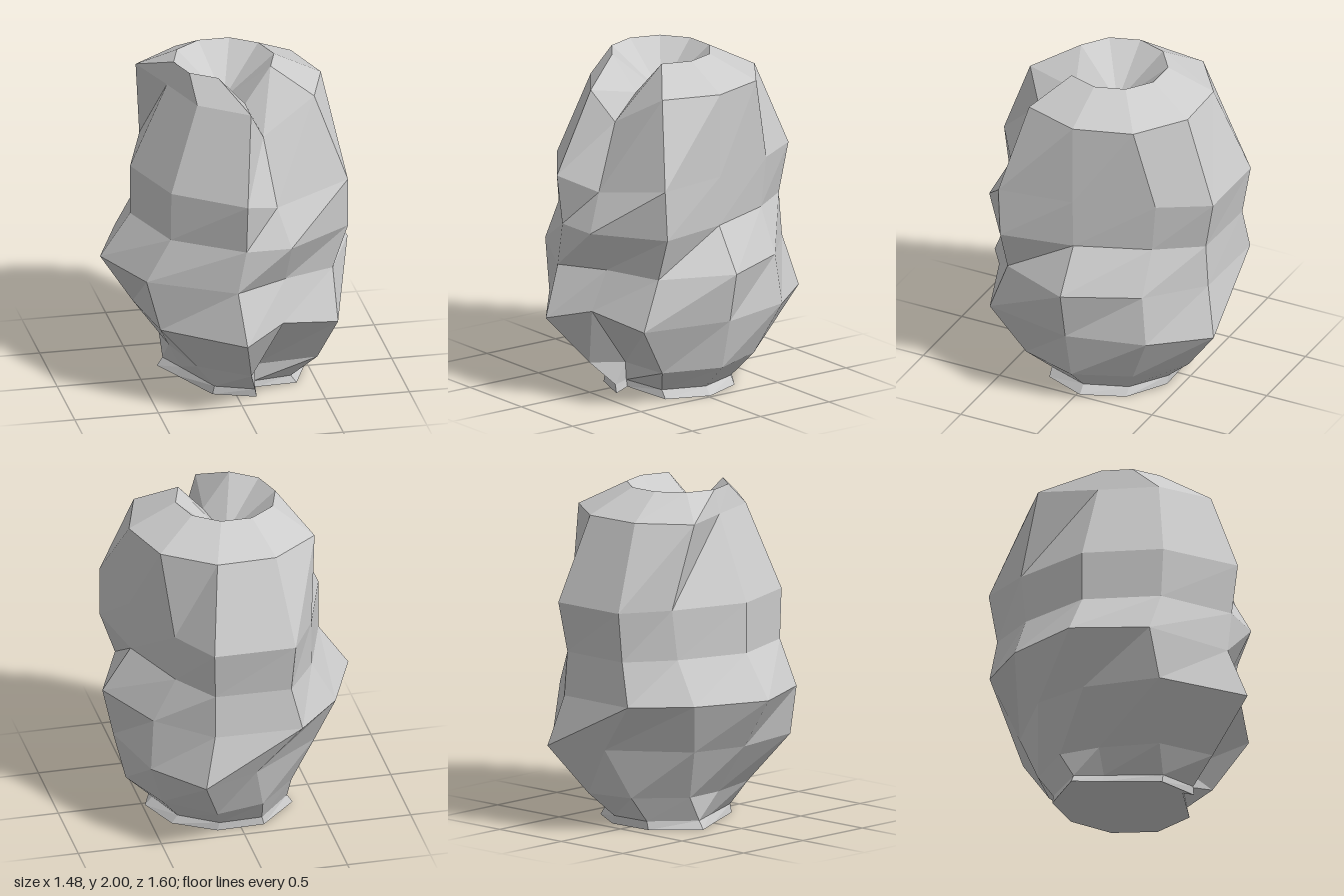
import * as THREE from 'three';

// Heights of the cross-sections, from foot to rim
const heights = [0, 0.05, 0.2, 0.5, 0.8, 1.06, 1.36, 1.86, 2];
const top = heights.length - 1;
const rimRadius = 0.3;
const footFlare = 1.1;

// Ribs at equal angles: radius at the inner heights, with optional turn in degrees or own heights
const ribs = [
  { radius: [0.44, 0.6, 0.675, 0.74, 0.57, 0.58, 0.58] },
  { radius: [0.43, 0.6, 0.79, 0.71, 0.785, 0.79, 0.58], turn: { 2: 8, 3: 2, 4: -2, 5: -1 } },
  // deep front crease
  { radius: [0.35, 0.36, 0.7, 0.63, 0.755, 0.63, 0.465, 0.25], turn: { 3: -5, 4: -2 },
    y: [0.03, 0.07, 0.18, 0.57, 0.815, 1.06, 1.28, 1.67, 1.8] },
  // lobe folded over the crease
  { radius: [0.42, 0.56, 0.82, 0.71, 0.71, 0.75, 0.55], turn: [-32, -23, -16, -13, -17, -17, -23] },
  { radius: [0.34, 0.42, 0.66, 0.7, 0.6, 0.61, 0.41], turn: [-33, -20, -8, -2, -11, -12, -20] },
  // side crease, tucked in at foot and shoulder
  { radius: [0.26, 0.33, 0.545, 0.74, 0.56, 0.56, 0.34] },
  { radius: [0.37, 0.42, 0.565, 0.71, 0.6, 0.62, 0.565], turn: { 0: -10, 3: 2, 4: 10, 5: 13 } },
  { radius: [0.41, 0.51, 0.65, 0.78, 0.74, 0.79, 0.57], turn: { 1: 6, 2: 15, 3: -4 } },
  { radius: [0.42, 0.59, 0.84, 0.75, 0.73, 0.79, 0.58], turn: { 2: 3 } },
  // back crease
  { radius: [0.43, 0.57, 0.73, 0.69, 0.59, 0.62, 0.585], turn: { 2: -4, 3: -3, 4: -11, 5: -12 } },
];

// Point on rib i at height k; the foot flares sideways from the lowest section
function ribPoint(i, k) {
  const index = i % ribs.length;
  const rib = ribs[index];
  const section = Math.max(k - 1, 0);
  const radius = rib.radius[section] ?? rimRadius;
  const turn = rib.turn?.[section] ?? 0;
  const angle = THREE.MathUtils.degToRad((index * 360) / ribs.length + turn);
  const x = radius * Math.cos(angle) * (k === 0 ? footFlare : 1);
  const y = (rib.y ?? heights)[k];
  return new THREE.Vector3(x, y, radius * Math.sin(angle) - 0.02);
}

function makeMesh(name, points) {
  const geometry = new THREE.BufferGeometry().setFromPoints(points);
  geometry.computeVertexNormals();
  const material = new THREE.MeshStandardMaterial({ color: 0xcccccc, flatShading: true });
  const mesh = new THREE.Mesh(geometry, material);
  mesh.name = name;
  return mesh;
}

export function createModel() {
  const group = new THREE.Group();
  group.name = 'lobedFruit';
  const skin = [];
  const stemHollow = [];
  const baseHollow = [];
  const stemCentre = new THREE.Vector3(0, 1.74, -0.02);
  const baseCentre = new THREE.Vector3(0, 0.16, -0.02);

  for (let i = 0; i < ribs.length; i++) {
    // lobed skin between neighbouring ribs
    for (let k = 0; k < top; k++) {
      const a = ribPoint(i, k);
      const b = ribPoint(i, k + 1);
      const c = ribPoint(i + 1, k + 1);
      const d = ribPoint(i + 1, k);
      skin.push(a, b, d, b, c, d);
    }
    // sunken fans at stem and base
    stemHollow.push(stemCentre, ribPoint(i + 1, top), ribPoint(i, top));
    baseHollow.push(baseCentre, ribPoint(i, 0), ribPoint(i + 1, 0));
  }

  group.add(makeMesh('lobedSkin', skin));
  group.add(makeMesh('stemHollow', stemHollow));
  group.add(makeMesh('baseHollow', baseHollow));
  return group;
}
